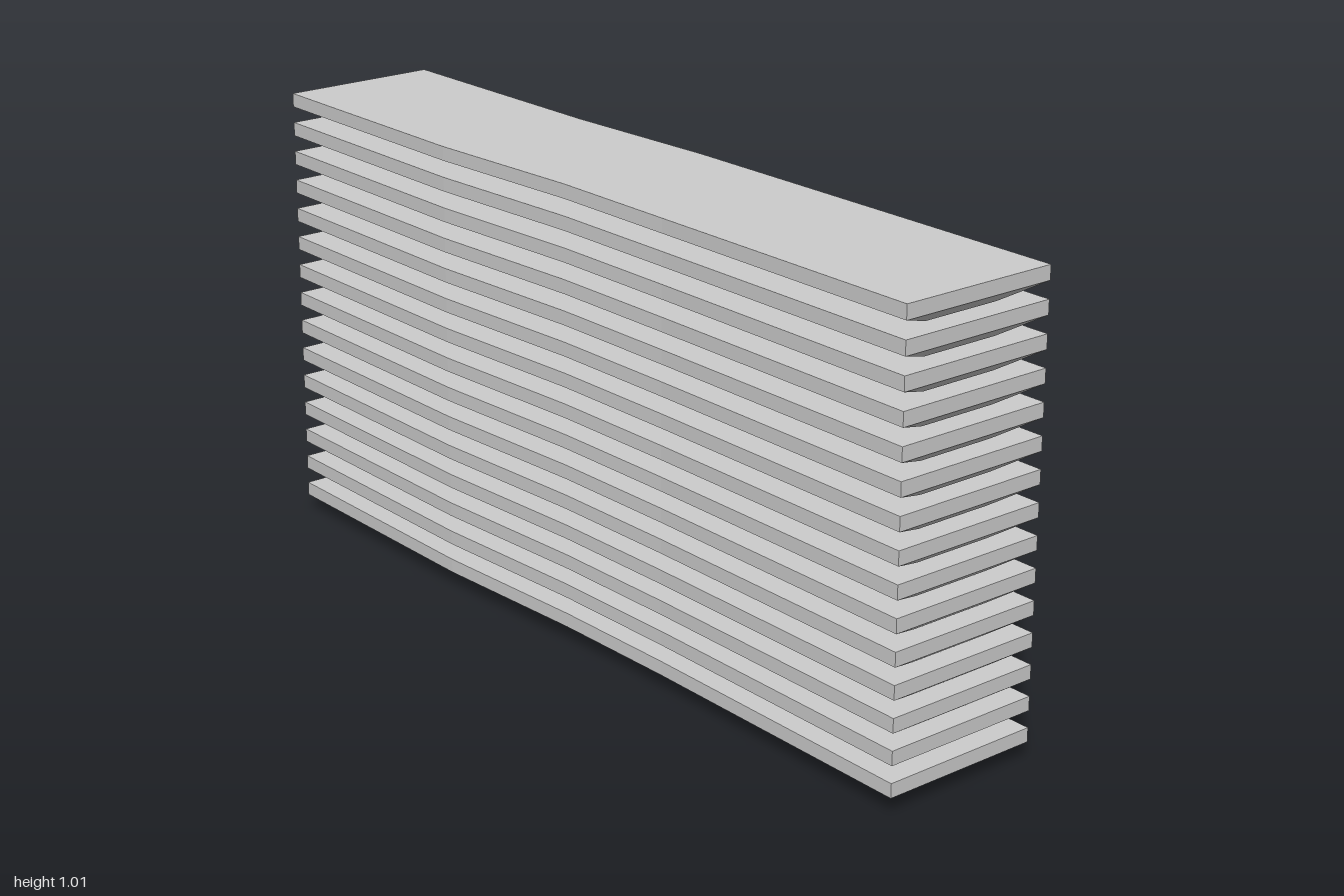
import * as THREE from 'three';

const SLAT_COUNT = 15;
const PITCH = 0.0675;

// Stations along a slat: [x, front z, back z, height shift], slightly warped like hewn wood
const STATIONS = [
  [-1, 0.167, -0.2, 0],
  [-0.4, 0.187, -0.184, 0.001],
  [0, 0.179, -0.188, 0.003],
  [0.3, 0.174, -0.196, -0.003],
  [1, 0.2, -0.173, 0],
];

// Six-cornered section: flat top, short upright sides, bevel down to a narrow base
function section([x, front, back, dy]) {
  const inset = 0.095;
  return [
    [x, 0.066 + dy, front],
    [x, 0.035 + dy, front],
    [x * 0.955, 0.003 + dy, front - inset],
    [x * 0.955, 0.003 + dy, back + inset],
    [x, 0.035 + dy, back],
    [x, 0.066 + dy, back],
  ];
}

function slatGeometry() {
  const positions = [];
  const quad = (a, b, c, d) => positions.push(...a, ...b, ...c, ...a, ...c, ...d);
  const rings = STATIONS.map(section);

  // Long sides, top and underside
  for (let s = 0; s < rings.length - 1; s++) {
    const p = rings[s], q = rings[s + 1];
    for (let i = 0; i < 6; i++) {
      const j = (i + 1) % 6;
      quad(p[i], p[j], q[j], q[i]);
    }
  }

  // Ends: upright face above, sloping bevel below
  const r = rings[rings.length - 1], l = rings[0];
  quad(r[0], r[1], r[4], r[5]);
  quad(r[1], r[2], r[3], r[4]);
  quad(l[5], l[4], l[1], l[0]);
  quad(l[4], l[3], l[2], l[1]);

  const geometry = new THREE.BufferGeometry();
  geometry.setAttribute('position', new THREE.Float32BufferAttribute(positions, 3));
  geometry.computeVertexNormals();
  return geometry;
}

export function createModel() {
  const model = new THREE.Group();
  model.name = 'slatStack';
  const material = new THREE.MeshStandardMaterial({ color: 0xcccccc, flatShading: true });
  const geometry = slatGeometry();

  // Identical slats stacked with narrow gaps
  for (let i = 0; i < SLAT_COUNT; i++) {
    const slat = new THREE.Mesh(geometry, material);
    slat.name = `slat${i + 1}`;
    slat.position.y = i * PITCH;
    model.add(slat);
  }
  return model;
}
